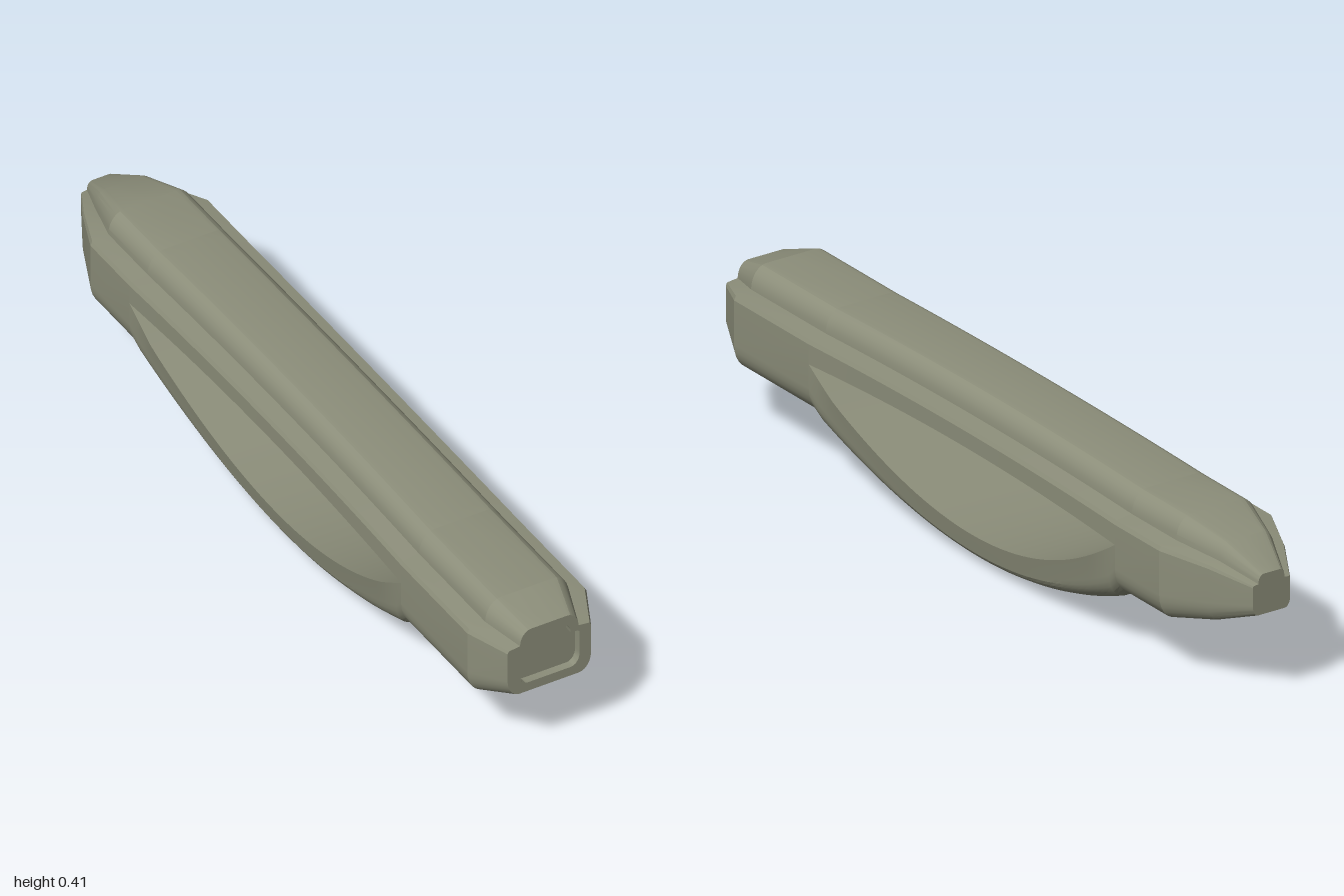
import * as THREE from 'three';
import { toCreasedNormals } from 'three/addons/utils/BufferGeometryUtils.js';

const olive = new THREE.MeshStandardMaterial({ color: 0x8c8e7a });
olive.name = 'olive grey';

const TIP = 0.605; // where the opening begins and ends along z

// Quarter ellipse; angles in degrees, 15 degrees per step
function arc(cx, cy, rx, ry, from, to) {
  const pts = [];
  for (let i = 0; i <= 6; i++) {
    const a = THREE.MathUtils.degToRad(from + (to - from) * i / 6);
    pts.push([cx + rx * Math.cos(a), cy + ry * Math.sin(a)]);
  }
  return pts;
}

// Right half of the top: rounded hump, then the stepped shoulder
const upperHalf = [
  [0, 0.405], ...arc(0.068, 0.35, 0.042, 0.055, 90, 0),
  [0.152, 0.345], [0.157, 0.335],
];
// Right half of the whole body outline, y from 0.16 to 0.405
const bodyHalf = [...upperHalf, ...arc(0.112, 0.225, 0.045, 0.065, 0, -90), [0, 0.16]];

// Mirrored ring from a half outline running top to bottom
function ring(half, z) {
  const left = half.slice(1, -1).reverse().map(([x, y]) => [-x, y]);
  return [...half, ...left].map(([x, y]) => [x, y, z]);
}

// Body outline squeezed to a given width and height range
function bodyRing(z, sx = 1, y0 = 0.16, y1 = 0.405) {
  return ring(bodyHalf.map(([x, y]) => [x * sx, y0 + (y - 0.16) / 0.245 * (y1 - y0)]), z);
}

// Skin over rings ordered from front to back
function loft(name, rings) {
  const pos = [];
  const area = new THREE.Triangle();
  const tri = (...corners) => {
    area.set(...corners.map((c) => new THREE.Vector3(...c)));
    if (area.getArea() > 1e-9) corners.forEach((c) => pos.push(...c));
  };
  for (let i = 0; i < rings.length - 1; i++) {
    const n = rings[i].length;
    for (let j = 0; j < n; j++) {
      const k = (j + 1) % n;
      const a = rings[i][j], b = rings[i][k], c = rings[i + 1][j], d = rings[i + 1][k];
      tri(a, b, c);
      tri(b, d, c);
    }
  }
  const geo = new THREE.BufferGeometry();
  geo.setAttribute('position', new THREE.Float32BufferAttribute(pos, 3));
  const mesh = new THREE.Mesh(toCreasedNormals(geo, 0.3), olive);
  mesh.name = name;
  return mesh;
}

// Underside of the bow
const bowBottom = (z) => (Math.abs(z) >= TIP ? 0.16 : 0.01 + 0.38 * z * z);

export function createModel() {
  const group = new THREE.Group();
  group.name = 'handle';

  // Front block with a shallow recess in its end face
  group.add(loft('frontBlock', [
    bodyRing(0.98, 0, 0.286, 0.286),
    bodyRing(0.98, 0.51, 0.222, 0.35),
    bodyRing(1, 0.51, 0.222, 0.35),
    bodyRing(1, 0.7, 0.198, 0.372),
    bodyRing(0.9),
    bodyRing(TIP),
  ]));

  // Rear block tapering to a small flat end
  group.add(loft('rearBlock', [
    bodyRing(-TIP),
    bodyRing(-0.78),
    bodyRing(-0.9, 0.68, 0.188, 0.376),
    bodyRing(-1, 0.33, 0.225, 0.325),
    bodyRing(-1, 0, 0.275, 0.275),
  ]));

  // Gently arched rail above the opening, and the bow below it
  const railRings = [], bowRings = [];
  const steps = 40;
  for (let i = 0; i <= steps; i++) {
    const z = TIP * (1 - 2 * i / steps);
    const t = (z / TIP) ** 2;
    const lift = 0.01 * (1 - t);
    const sx = 1 - 0.03 * (1 - t);
    const under = 0.285 + 0.02 * (1 - t);
    railRings.push(ring([
      ...upperHalf.map(([x, y]) => [x * sx, y + lift]), [0.157 * sx, under], [0, under],
    ], z));

    const inner = 0.08 + 0.205 * t;
    const outer = bowBottom(z);
    const r = 0.03 + 0.035 * t;
    const width = (y) => 0.157 - 0.18 * Math.max(0, 0.225 - y);
    const w = width(outer + r);
    bowRings.push(ring([
      [0, inner], [width(inner), inner], ...arc(w - 0.045, outer + r, 0.045, r, 0, -90), [0, outer],
    ], z));
  }
  group.add(loft('rail', railRings), loft('bow', bowRings));

  // Thin V-shaped rib along the underside
  const ribRings = [];
  const ribAt = (z, y) => ribRings.push(ring([[0, y + 0.008], [0.011, y + 0.004], [0, y - 0.01]], z));
  ribAt(0.99, 0.2);
  ribAt(0.9, 0.16);
  for (let i = 0; i <= steps; i++) {
    const z = TIP * (1 - 2 * i / steps);
    ribAt(z, bowBottom(z));
  }
  ribAt(-0.78, 0.16);
  ribAt(-0.9, 0.192);
  group.add(loft('bottomRib', ribRings));

  return group;
}
